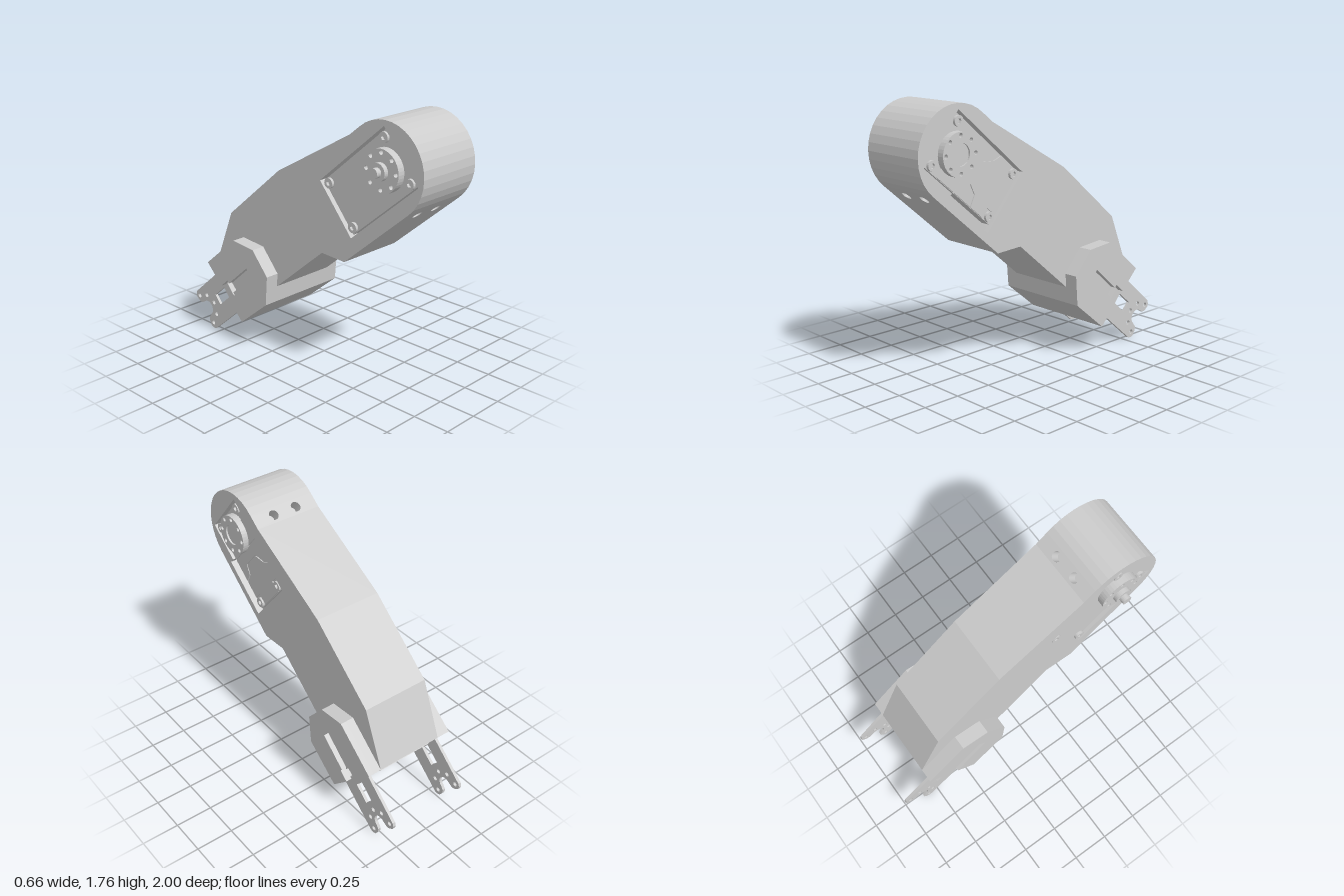
import * as THREE from 'three';

const mat = new THREE.MeshStandardMaterial({ color: 0xcccccc, side: THREE.DoubleSide });
const V = (x, y) => new THREE.Vector2(x, y);
// Profiles are drawn in a side plane: first value = -z, second = y.
const P = list => list.map(([x, y]) => V(x, y));

// Tilted side-plane frame: a runs down the limb, b across it
function frame(x, y, deg) {
  const c = Math.cos(deg * Math.PI / 180), s = Math.sin(deg * Math.PI / 180);
  return (a, b) => V(x + a * c + b * s, y - a * s + b * c);
}
const rect = (f, a0, a1, b0, b1) => [f(a0, b0), f(a1, b0), f(a1, b1), f(a0, b1)];
function circle(c, r, n = 32) {
  return Array.from({ length: n }, (_, i) => {
    const t = i / n * Math.PI * 2;
    return V(c.x + r * Math.cos(t), c.y + r * Math.sin(t));
  });
}
function shapeOf(pts, holes = []) {
  const s = new THREE.Shape(pts);
  holes.forEach(h => s.holes.push(new THREE.Path(h)));
  return s;
}
function add(parent, name, geo) {
  const m = new THREE.Mesh(geo, mat);
  m.name = name;
  parent.add(m);
  return m;
}
// Side profile extruded across the width from x0 to x1
function slab(parent, name, pts, x0, x1, holes) {
  const g = new THREE.ExtrudeGeometry(shapeOf(pts, holes), { depth: x1 - x0, bevelEnabled: false });
  return add(parent, name, g.rotateY(Math.PI / 2).translate(x0, 0, 0));
}
// Flat side face at one x
function cap(parent, name, pts, x, holes) {
  const g = new THREE.ShapeGeometry(shapeOf(pts, holes)).rotateY(Math.PI / 2);
  return add(parent, name, g.translate(x, 0, 0));
}
// Matrix of the face standing on the profile edge p-q, its z pointing outward
function edgeMatrix(p, q) {
  const d = q.clone().sub(p).normalize();
  return new THREE.Matrix4().makeBasis(
    new THREE.Vector3(0, d.y, -d.x), new THREE.Vector3(1, 0, 0), new THREE.Vector3(0, -d.x, -d.y)
  ).setPosition(0, p.y, -p.x);
}
function wall(parent, name, p, q, x0, x1, holes = [], depth = 0) {
  const L = p.distanceTo(q);
  const s = shapeOf([V(0, x0), V(L, x0), V(L, x1), V(0, x1)], holes);
  const g = depth ? new THREE.ExtrudeGeometry(s, { depth, bevelEnabled: false }) : new THREE.ShapeGeometry(s);
  return add(parent, name, g.applyMatrix4(edgeMatrix(p, q)));
}

function buildBody(S) {
  const g = new THREE.Group();
  g.name = 'limbBody';
  const W = 0.235, step = 0.19, steps = 18;
  const pts = [];
  for (let i = 0; i <= steps; i++) {
    const t = (50 + 180 * i / steps) * Math.PI / 180;
    pts.push(V(-0.705 + 0.295 * Math.cos(t), 1.465 + 0.295 * Math.sin(t)));
  }
  pts.push(...P([[-0.40, 0.82], [-0.21, 0.83], [0.206, 0.482], [0.806, 0.514],
    [0.65, 0.89], [0.174, 1.285], [-0.436, 1.628]]));

  // side faces with the motor pocket, the left one with a cable recess
  const pocket = rect(S, -0.33, 0.33, -0.203, 0.203);
  const recess = [S(-0.33, -0.203), S(-0.065, -0.203), S(-0.065, -0.245),
    S(0.33, -0.245), S(0.33, 0.203), S(-0.33, 0.203)];
  cap(g, 'rightFace', pts, -W, [pocket]);
  cap(g, 'leftFace', pts, W, [recess]);
  cap(g, 'cableRecessFloor', rect(S, -0.065, 0.33, -0.245, -0.203), step);
  recess.forEach((p, i) => wall(g, 'recessWall', recess[(i + 1) % 6], p, step, W));
  pocket.forEach((p, i) => wall(g, 'pocketWall', pocket[(i + 1) % 4], p, -W, step));

  // outer skin, with two bolt holes above and below the head
  pts.forEach((p, i) => {
    const q = pts[(i + 1) % pts.length];
    const at = i === steps ? 0.07 : i === pts.length - 1 ? p.distanceTo(q) / 2 : 0;
    const xs = at ? [-0.085, 0.085] : [];
    wall(g, 'skin', p, q, -W, W, xs.map(x => circle(V(at, x), 0.033, 24)));
    for (const x of xs) {
      const bore = new THREE.CylinderGeometry(0.033, 0.033, 0.08, 24, 1, true).rotateX(Math.PI / 2);
      add(g, 'boltHole', bore.translate(at, x, -0.04).applyMatrix4(edgeMatrix(p, q)));
      const floor = new THREE.CircleGeometry(0.033, 24).translate(at, x, -0.08);
      add(g, 'boltHoleFloor', floor.applyMatrix4(edgeMatrix(p, q)));
    }
  });
  return g;
}

function buildMotor(S) {
  const g = new THREE.Group();
  g.name = 'motor';
  const c = S(-0.17, 0);
  slab(g, 'motorCase', rect(S, -0.316, 0.316, -0.19, 0.19), -0.215, 0.215);
  // raised cover panels, the gaps between them reading as seams
  slab(g, 'upperPanel', [S(-0.21, -0.187), S(-0.052, -0.187), S(-0.052, 0.187), S(-0.21, 0.187)], 0.215, 0.222);
  slab(g, 'lowerPanel', [S(0.12, -0.187), S(0.235, -0.187), S(0.235, -0.12), S(0.313, -0.12), S(0.313, 0.12),
    S(0.235, 0.12), S(0.235, 0.187), S(0.13, 0.187), S(0.1, 0.13), S(0.035, 0.08), S(0.035, -0.08), S(0.1, -0.11)], 0.215, 0.222);
  slab(g, 'middlePanel', [S(-0.044, -0.187), S(0.112, -0.187), S(0.092, -0.115), S(0.027, -0.085),
    S(0.027, 0.085), S(0.092, 0.135), S(0.12, 0.187), S(-0.044, 0.187)], 0.215, 0.222);
  for (const a of [-0.282, 0.282]) for (const b of [-0.155, 0.155]) {
    for (const x of [-0.233, 0.213]) {
      slab(g, 'cornerScrew', circle(S(a, b), 0.033, 20), x, x + 0.02, [circle(S(a, b), 0.017, 6)]);
    }
  }
  // drive discs on both sides
  const ring = Array.from({ length: 8 }, (_, i) => {
    const t = i * Math.PI / 4;
    return circle(V(c.x + 0.112 * Math.cos(t), c.y + 0.112 * Math.sin(t)), 0.014, 12);
  });
  slab(g, 'leftDisc', circle(c, 0.134, 40), 0.215, 0.262, [...ring, circle(c, 0.068)]);
  slab(g, 'leftHub', circle(c, 0.068), 0.215, 0.25);
  slab(g, 'rightDisc', circle(c, 0.134, 40), -0.265, -0.215, ring);
  slab(g, 'rightBoss', circle(c, 0.056), -0.295, -0.265);
  slab(g, 'rightShaft', circle(c, 0.031, 24), -0.33, -0.295);
  return g;
}

function buildHousing(B) {
  const g = new THREE.Group();
  g.name = 'jointHousing';
  const before = P([[0.335, 0.728], [0.528, 0.745], [0.806, 0.514]]);
  const after = P([[0.463, 0.171], [0.217, 0.37], [0.2, 0.573]]);
  // core with a shallow cavity in its end
  const along = (k, d) => V(0.806 - (k + d) * 0.707, 0.514 - (k - d) * 0.707);
  const cavity = [along(0.045, 0), along(0.045, 0.07), along(0.44, 0.07), along(0.44, 0)];
  slab(g, 'housingCore', [...before, ...cavity, ...after], -0.262, 0.262);
  // outer cheeks with a stepped slot for the bracket arms
  const slot = [B(-0.011, 0.057), B(-0.098, 0.057), B(-0.098, 0.035), B(-0.345, 0.035),
    B(-0.345, -0.035), B(-0.098, -0.035), B(-0.098, -0.055), B(-0.019, -0.055)];
  for (const s of [-1, 1]) {
    const span = (a, b) => s > 0 ? [a, b] : [-b, -a];
    slab(g, 'housingSpacer', [...before, ...cavity, ...after], ...span(0.262, 0.29));
    slab(g, 'housingCheek', [...before, ...slot, ...after], ...span(0.29, 0.33));
  }
  return g;
}

function buildBracket(B) {
  const g = new THREE.Group();
  g.name = 'forkBracket';
  // fork arm outline: straight sides, two prongs around a round notch
  const arm = [B(-0.03, -0.15), B(0.33, -0.145), B(0.352, -0.132), B(0.362, -0.11), B(0.355, -0.07), B(0.34, -0.05)];
  for (let i = 0; i <= 12; i++) {
    const t = (-90 - 15 * i) * Math.PI / 180;
    arm.push(B(0.305 + 0.052 * Math.cos(t), 0.01 + 0.052 * Math.sin(t)));
  }
  arm.push(B(0.34, 0.07), B(0.355, 0.09), B(0.362, 0.125), B(0.352, 0.147), B(0.33, 0.16), B(-0.03, 0.16));
  const holes = [[0.213, 0.012], [0.25, 0.088], [0.327, 0.12], [0.25, -0.066], [0.327, -0.1]]
    .map(([a, b]) => circle(B(a, b), 0.016, 16));
  holes.push(rect(B, 0.027, 0.157, -0.03, 0.048));
  for (const x of [-0.287, 0.267]) slab(g, 'forkArm', arm, x, x + 0.02, holes);

  // perforated base plate between the arms
  const plateHoles = [circle(V(0.155, 0), 0.05)];
  for (let i = 0; i < 8; i++) {
    const t = (i + 0.5) * Math.PI / 4;
    plateHoles.push(circle(V(0.155 + 0.095 * Math.cos(t), 0.095 * Math.sin(t)), 0.014, 12));
  }
  for (const x of [-0.19, 0.19]) for (const v of [0.06, 0.25]) plateHoles.push(circle(V(v, x), 0.016, 12));
  wall(g, 'basePlate', B(-0.03, -0.15), B(-0.03, 0.16), -0.287, 0.287, plateHoles, 0.015);
  for (const b of [-0.165, 0.16]) slab(g, 'plateLip', rect(B, -0.035, 0.012, b, b + 0.014), -0.2, 0.2);
  return g;
}

export function createModel() {
  const root = new THREE.Group();
  root.name = 'jointedLimb';
  const motorFrame = frame(-0.577, 1.356, 40), bracketFrame = frame(0.64, 0.327, 41);
  root.add(buildBody(motorFrame), buildMotor(motorFrame), buildHousing(bracketFrame), buildBracket(bracketFrame));
  return root;
}
